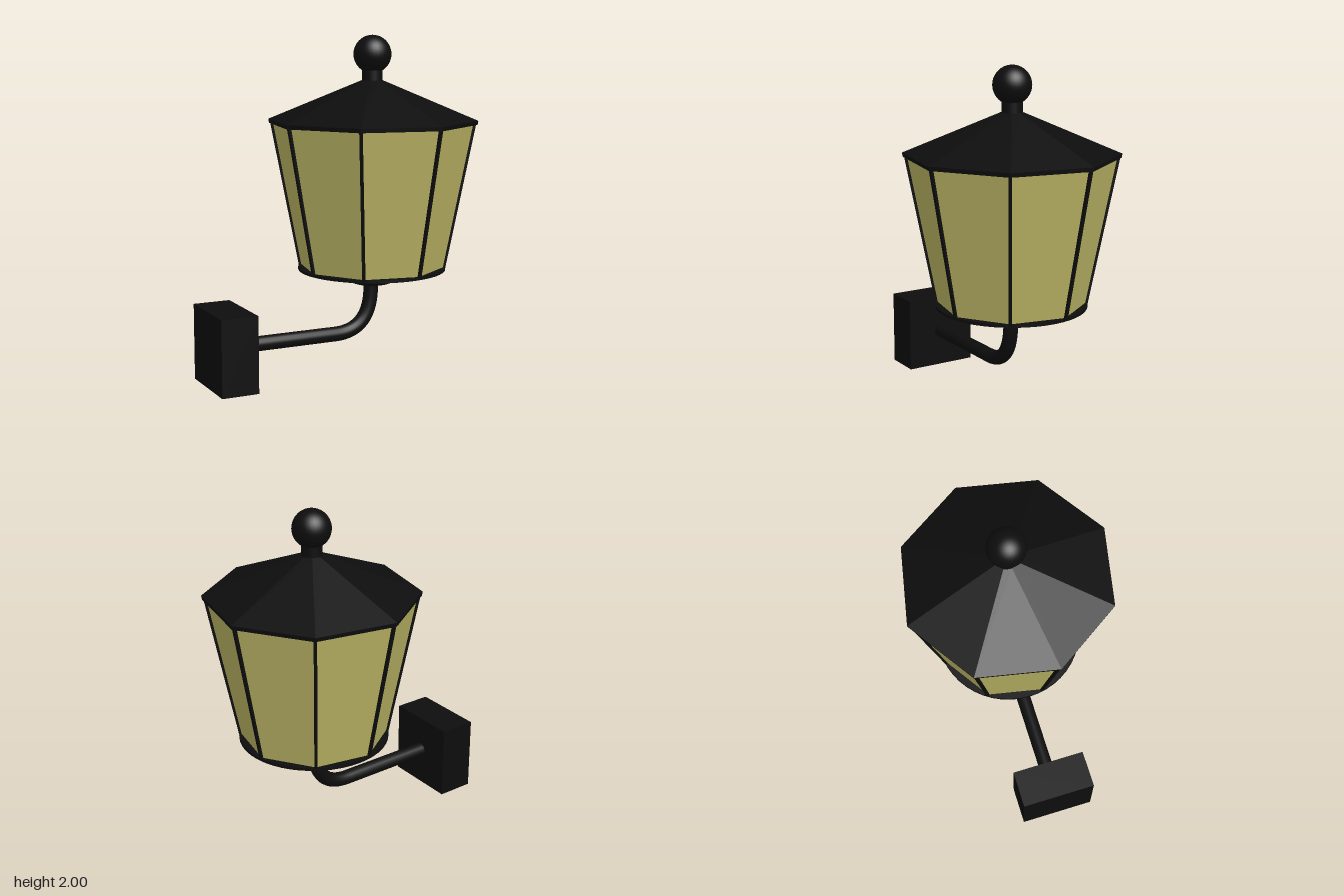
import * as THREE from 'three';

const black = new THREE.MeshStandardMaterial({ color: 0x0d0d0d });
const blackFlat = new THREE.MeshStandardMaterial({ color: 0x0d0d0d, flatShading: true });
const glass = new THREE.MeshStandardMaterial({ color: 0xbab464, flatShading: true, side: THREE.DoubleSide });

const SIDES = 8;
const TURN = 0.197;      // twist of the octagon about the lantern axis
const AXIS_X = 0.218;    // lantern axis

function add(parent, name, geometry, material, x = 0, y = 0, z = 0) {
  const mesh = new THREE.Mesh(geometry, material);
  mesh.name = name;
  mesh.position.set(x, y, z);
  parent.add(mesh);
  return mesh;
}

// Eight-sided frustum between two heights
function octagon(rTop, rBottom, y0, y1, open = false) {
  const g = new THREE.CylinderGeometry(rTop, rBottom, y1 - y0, SIDES, 1, open, TURN);
  return g.translate(0, (y0 + y1) / 2, 0);
}

export function createModel() {
  const model = new THREE.Group();
  model.name = 'wallLantern';

  // Wall mount
  add(model, 'wallPlate', new THREE.BoxGeometry(0.222, 0.45, 0.446), black, -0.725, 0.225, 0);

  // Bent arm: straight out, then a quarter bend up into the lantern
  const arm = new THREE.CurvePath();
  const v = (x, y) => new THREE.Vector3(x, y, 0);
  arm.add(new THREE.LineCurve3(v(-0.65, 0.228), v(-0.02, 0.228)));
  arm.add(new THREE.QuadraticBezierCurve3(v(-0.02, 0.228), v(0.213, 0.232), v(0.213, 0.5)));
  arm.add(new THREE.LineCurve3(v(0.213, 0.5), v(0.213, 0.55)));
  add(model, 'arm', new THREE.TubeGeometry(arm, 40, 0.044, 16), black);

  const lantern = new THREE.Group();
  lantern.name = 'lantern';
  lantern.position.x = AXIS_X;
  model.add(lantern);

  // Round dish under the glass
  const dish = [[0, 0.522], [0.11, 0.522], [0.22, 0.565], [0.442, 0.608], [0.442, 0.625], [0, 0.625]]
    .map(([r, y]) => new THREE.Vector2(r, y));
  add(lantern, 'baseDish', new THREE.LatheGeometry(dish, 48), blackFlat);

  // Glass panes
  add(lantern, 'glassPanes', octagon(0.6, 0.43, 0.615, 1.49, true), glass);

  // Corner bars, leaning outwards
  const up = new THREE.Vector3(0, 1, 0);
  for (let i = 0; i < SIDES; i++) {
    const a = TURN + (i * Math.PI * 2) / SIDES;
    const corner = new THREE.Group();
    corner.name = 'cornerBar' + (i + 1);
    corner.rotation.y = a;
    const low = new THREE.Vector3(0, 0.615, 0.428);
    const high = new THREE.Vector3(0, 1.49, 0.6);
    const bar = add(corner, 'bar', new THREE.BoxGeometry(0.018, low.distanceTo(high), 0.026), black);
    bar.position.lerpVectors(low, high, 0.5);
    bar.quaternion.setFromUnitVectors(up, high.clone().sub(low).normalize());
    lantern.add(corner);
  }

  // Roof with a thin eave
  add(lantern, 'eave', octagon(0.624, 0.62, 1.478, 1.502), blackFlat);
  add(lantern, 'roof', octagon(0.063, 0.624, 1.502, 1.735), blackFlat);

  // Finial
  add(lantern, 'finialNeck', new THREE.CylinderGeometry(0.06, 0.06, 0.12, 24), black, 0, 1.77, 0);
  add(lantern, 'finialBall', new THREE.SphereGeometry(0.112, 32, 20), black, 0, 1.888, 0);

  return model;
}
